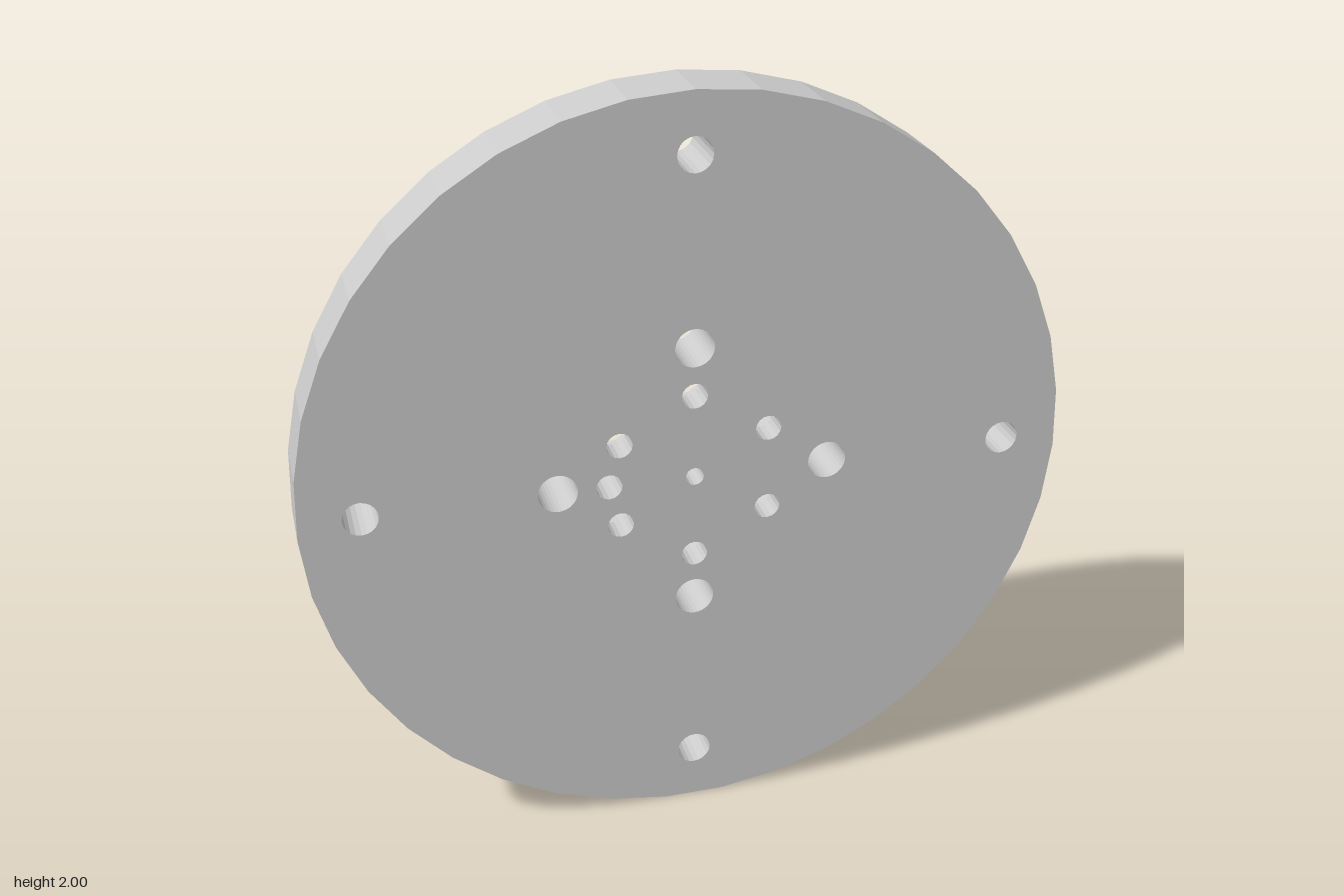
import * as THREE from 'three';

const FRONT = 0.09, BACK = -0.09, FLOOR = 0.01, RIM_SIDES = 39;

// Regular polygon outline starting at the top
function ring(x, y, r, n) {
  return Array.from({ length: n }, (_, i) => {
    const a = (i / n) * Math.PI * 2;
    return new THREE.Vector2(x + r * Math.sin(a), y + r * Math.cos(a));
  });
}

// Turn a surface inside out
function flip(geo) {
  const idx = geo.index;
  for (let i = 0; i < idx.count; i += 3) {
    const a = idx.getX(i);
    idx.setX(i, idx.getX(i + 2));
    idx.setX(i + 2, a);
  }
  const n = geo.attributes.normal;
  for (let i = 0; i < n.count; i++) n.setXYZ(i, -n.getX(i), -n.getY(i), -n.getZ(i));
  return geo;
}

// Flat face with round holes cut out
function face(outer, holes, z) {
  const shape = new THREE.Shape(ring(...outer));
  shape.holes = holes.map((h) => new THREE.Path(ring(...h)));
  return new THREE.ShapeGeometry(shape).translate(0, 0, z);
}

// Open tube between two depths
function wall([x, y, r, n], z0, z1) {
  return new THREE.CylinderGeometry(r, r, z1 - z0, n, 1, true)
    .rotateX(-Math.PI / 2)
    .translate(x, y, (z0 + z1) / 2);
}

export function createModel() {
  const model = new THREE.Group();
  const disc = new THREE.Group();
  disc.name = 'disc';
  disc.position.y = 0.997;
  model.add(disc);

  const material = new THREE.MeshStandardMaterial({ color: 0xcccccc, flatShading: true });
  const add = (name, geo) => {
    const mesh = new THREE.Mesh(geo, material);
    mesh.name = name;
    disc.add(mesh);
  };
  const circle = (count, radius, r, n) =>
    ring(0, 0, radius, count).map((p) => [p.x, p.y, r, n]);

  // Hole patterns: [x, y, radius, sides]
  const outerHoles = circle(4, 0.845, 0.045, 20);
  const middleHoles = circle(4, 0.355, 0.051, 32);
  const boltHoles = circle(6, 0.225, 0.034, 16);
  const counterbores = circle(6, 0.225, 0.078, 16);
  const pinHole = [-0.223, 0, 0.034, 16];
  const centreHole = [0, 0, 0.024, 16];
  const through = [...outerHoles, ...middleHoles, pinHole, centreHole];

  // Plate faces and rim
  const edge = [0, 0, 1, RIM_SIDES];
  add('frontFace', face(edge, [...through, ...boltHoles], FRONT));
  add('backFace', flip(face(edge, [...through, ...counterbores], BACK)));
  add('rim', wall(edge, BACK, FRONT));

  // Straight holes through the plate
  outerHoles.forEach((h) => add('outerHole', flip(wall(h, BACK, FRONT))));
  middleHoles.forEach((h) => add('middleHole', flip(wall(h, BACK, FRONT))));
  add('pinHole', flip(wall(pinHole, BACK, FRONT)));
  add('centreHole', flip(wall(centreHole, BACK, FRONT)));

  // Bolt holes, counterbored from the back
  boltHoles.forEach((h, i) => {
    add('boltHole', flip(wall(h, FLOOR, FRONT)));
    add('counterbore', flip(wall(counterbores[i], BACK, FLOOR)));
    add('counterboreFloor', flip(face(counterbores[i], [h], FLOOR)));
  });

  return model;
}
